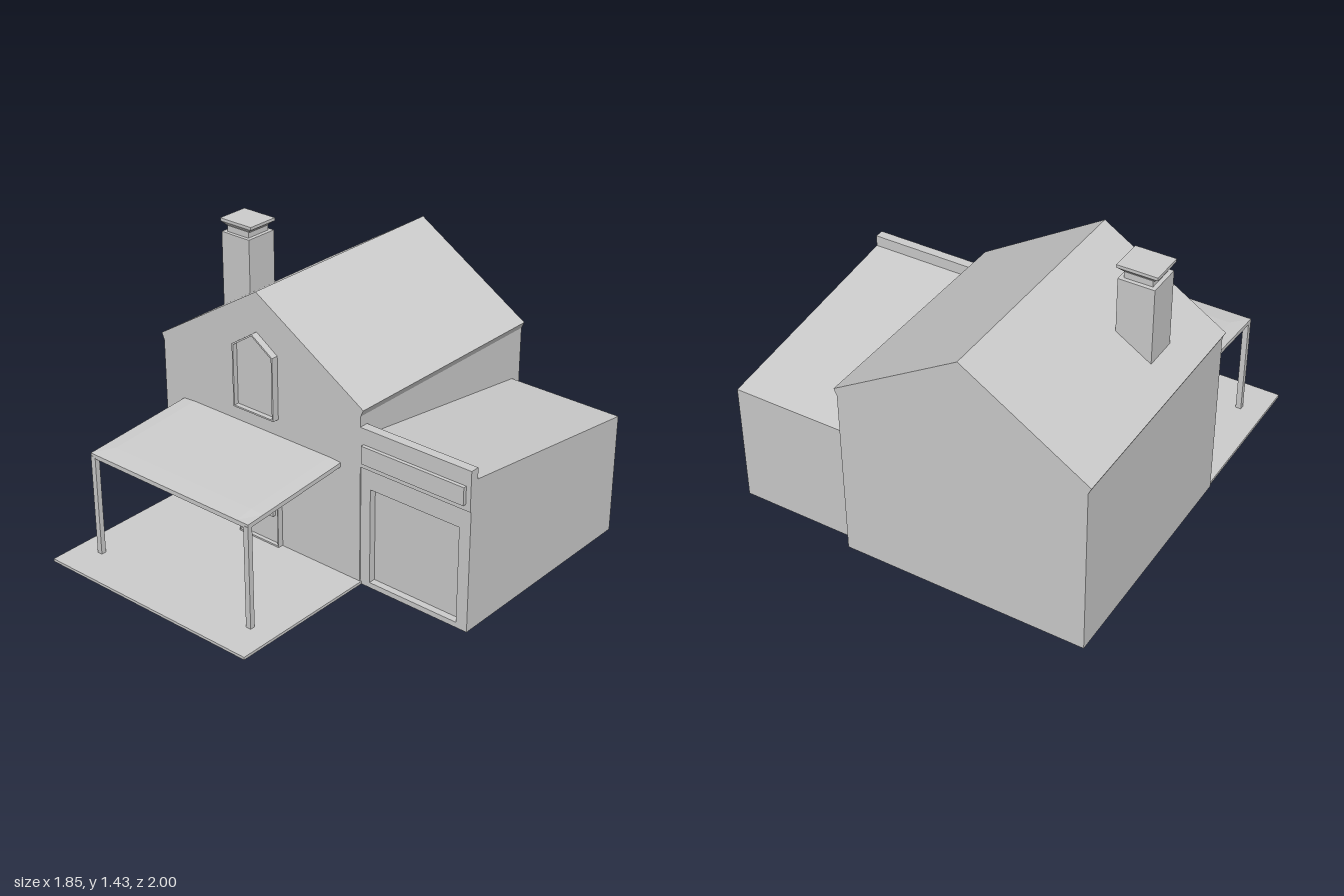
import * as THREE from 'three';

const material = new THREE.MeshStandardMaterial({ color: 0xcccccc, flatShading: true });

export function createModel() {
  const house = new THREE.Group();
  house.name = 'house';

  const add = (name, geometry, parent = house) => {
    const mesh = new THREE.Mesh(geometry, material);
    mesh.name = name;
    parent.add(mesh);
    return mesh;
  };
  const group = (name) => {
    const g = new THREE.Group();
    g.name = name;
    house.add(g);
    return g;
  };
  // Box given by its limits on each axis
  const box = (name, [x0, x1], [y0, y1], [z0, z1], parent) =>
    add(name, new THREE.BoxGeometry(x1 - x0, y1 - y0, z1 - z0)
      .translate((x0 + x1) / 2, (y0 + y1) / 2, (z0 + z1) / 2), parent);
  const toPoints = (list) => list.map(([x, y]) => new THREE.Vector2(x, y));
  // Outline in x/y extruded from z0 to z1, with an optional hole
  const slab = (name, outline, [z0, z1], hole, parent) => {
    const shape = new THREE.Shape(toPoints(outline));
    if (hole) shape.holes.push(new THREE.Path(toPoints(hole)));
    const geometry = new THREE.ExtrudeGeometry(shape, { depth: z1 - z0, bevelEnabled: false });
    return add(name, geometry.translate(0, 0, z0), parent);
  };
  const rect = (x0, x1, y0, y1) => [[x0, y0], [x1, y0], [x1, y1], [x0, y1]];

  // Gabled main body with small eaves
  slab('mainBody', [
    [-0.91, 0.003], [0.31, 0.003], [0.31, 0.872], [0.325, 0.905],
    [-0.29, 1.283], [-0.305, 1.293], [-0.32, 1.283], [-0.925, 0.905], [-0.91, 0.872],
  ], [-1, 0.215]);

  // Lean-to garage, its profile drawn in z/y and turned to run along x
  const garage = group('garage');
  const body = slab('garageBody',
    [[-0.175, 0.003], [0.94, 0.003], [0.94, 0.62], [-0.175, 0.765]], [0.31, 0.92], null, garage);
  body.rotation.y = Math.PI / 2;
  slab('garageDoorFrame', rect(0.31, 0.92, 0.003, 0.62), [0.17, 0.21],
    rect(0.365, 0.86, 0.03, 0.52), garage);
  box('garageParapet', [0.31, 0.92], [0.62, 0.82], [0.17, 0.217], garage);
  box('signBoard', [0.33, 0.895], [0.65, 0.74], [0.21, 0.235], garage);

  // Gabled window: thin raised rim around a set-back pane
  const windowGroup = group('gableWindow');
  const gable = (inset) => [
    [-0.43 + inset, 0.69 + inset], [-0.18 - inset, 0.69 + inset],
    [-0.18 - inset, 1.012 - inset * 0.6], [-0.305, 1.095 - inset * 1.2], [-0.43 + inset, 1.012 - inset * 0.6],
  ];
  slab('windowFrame', gable(0), [0.21, 0.25], gable(0.008), windowGroup);
  slab('windowPane', gable(0.004), [0.21, 0.225], null, windowGroup);

  // Front door
  const door = group('frontDoor');
  slab('doorFrame', rect(-0.415, -0.165, 0.02, 0.417), [0.21, 0.245],
    rect(-0.41, -0.17, 0.028, 0.412), door);
  box('doorPanel', [-0.412, -0.168], [0.022, 0.414], [0.21, 0.225], door);
  box('doorKnob', [-0.226, -0.2], [0.175, 0.2], [0.22, 0.242], door);

  // Porch floor, posts and sloping canopy
  const porch = group('porch');
  box('porchFloor', [-0.905, 0.318], [0.004, 0.018], [0.2, 1], porch);
  for (const x of [-0.79, 0.167]) box('porchPost', [x, x + 0.028], [0, 0.54], [0.8, 0.826], porch);

  const canopy = new THREE.BoxGeometry(3, 1, 2, 3, 1, 2);
  const p = canopy.attributes.position;
  for (let i = 0; i < p.count; i++) {
    const innerX = Math.abs(p.getX(i)) < 1;
    const x = -0.2975 + Math.sign(p.getX(i)) * (innerX ? 0.425 : 0.4925);
    const z = p.getZ(i) > 0.5 ? 0.825 : p.getZ(i) > -0.5 ? 0.73 : 0.21;
    const top = p.getY(i) > 0;
    const raise = top && innerX && z < 0.8 ? 0.005 : 0;
    const y = 0.553 + (0.825 - z) * 0.076 - (top ? 0 : 0.022) + raise;
    p.setXYZ(i, x, y, z);
  }
  canopy.computeVertexNormals();
  add('canopy', canopy, porch);

  // Chimney with a narrow neck, flared collar and flat cap
  const chimney = group('chimney');
  box('chimneyShaft', [-0.795, -0.62], [0.9, 1.365], [-0.255, -0.082], chimney);
  box('chimneyNeck', [-0.775, -0.64], [1.365, 1.395], [-0.235, -0.1], chimney);
  const half = Math.SQRT2 / 2;
  const collar = new THREE.CylinderGeometry(0.187 * half, 0.135 * half, 0.025, 4).rotateY(Math.PI / 4);
  add('chimneyCollar', collar.scale(1, 1, 0.9).translate(-0.708, 1.4025, -0.168), chimney);
  box('chimneyCap', [-0.805, -0.61], [1.415, 1.43], [-0.252, -0.085], chimney);

  return house;
}
